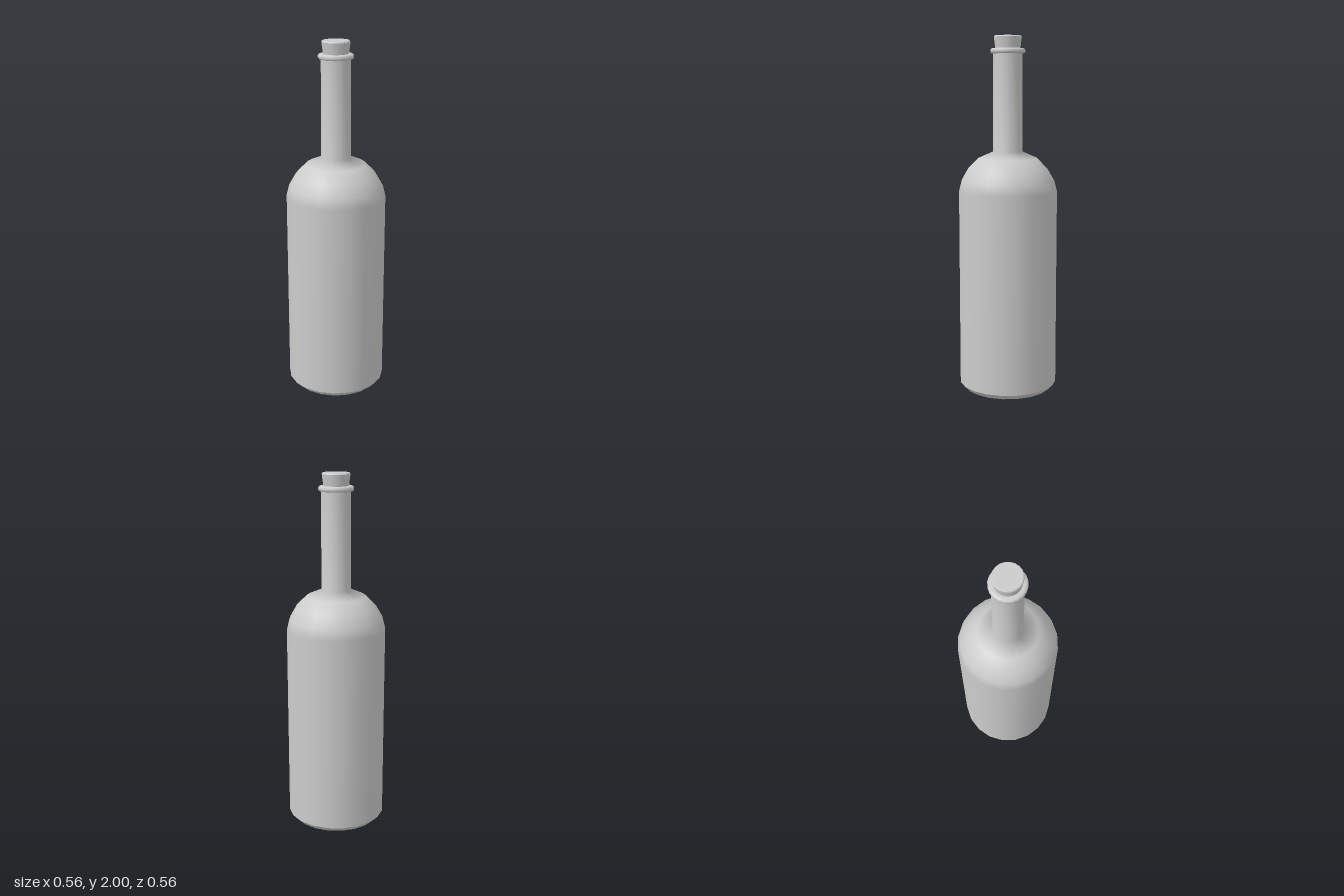
import * as THREE from 'three';

const SIDES = 20;
const material = new THREE.MeshStandardMaterial({ color: 0xcccccc });

// Revolves one smooth run of [radius, height] points, listed bottom to top
function turned(name, points) {
  const profile = points.map(([r, y]) => new THREE.Vector2(r, y));
  const mesh = new THREE.Mesh(new THREE.LatheGeometry(profile, SIDES), material);
  mesh.name = name;
  return mesh;
}

export function createModel() {
  const model = new THREE.Group();
  model.name = 'corkedBottle';

  // Glass: separate runs keep the base edges sharp
  const glass = new THREE.Group();
  glass.name = 'glass';
  glass.add(
    turned('baseDisc', [[0, 0], [0.25, 0]]),
    turned('baseBevel', [[0.25, 0], [0.278, 0.03]]),
    turned('bodyShoulderAndNeck', [
      [0.278, 0.03], [0.278, 1.14], [0.263, 1.2], [0.226, 1.265],
      [0.167, 1.325], [0.083, 1.362], [0.081, 1.91],
    ]),
    // Rounded ring around the mouth
    turned('lip', [
      [0.081, 1.902], [0.092, 1.904], [0.097, 1.911], [0.097, 1.921],
      [0.092, 1.929], [0.081, 1.932], [0.066, 1.931],
    ]),
  );

  // Tapered stopper with a small bevel on its top edge
  const cork = new THREE.Group();
  cork.name = 'cork';
  cork.add(
    turned('corkSide', [[0.068, 1.92], [0.078, 1.993]]),
    turned('corkBevel', [[0.078, 1.993], [0.073, 2]]),
    turned('corkTop', [[0.073, 2], [0, 2]]),
  );

  model.add(glass, cork);
  return model;
}
